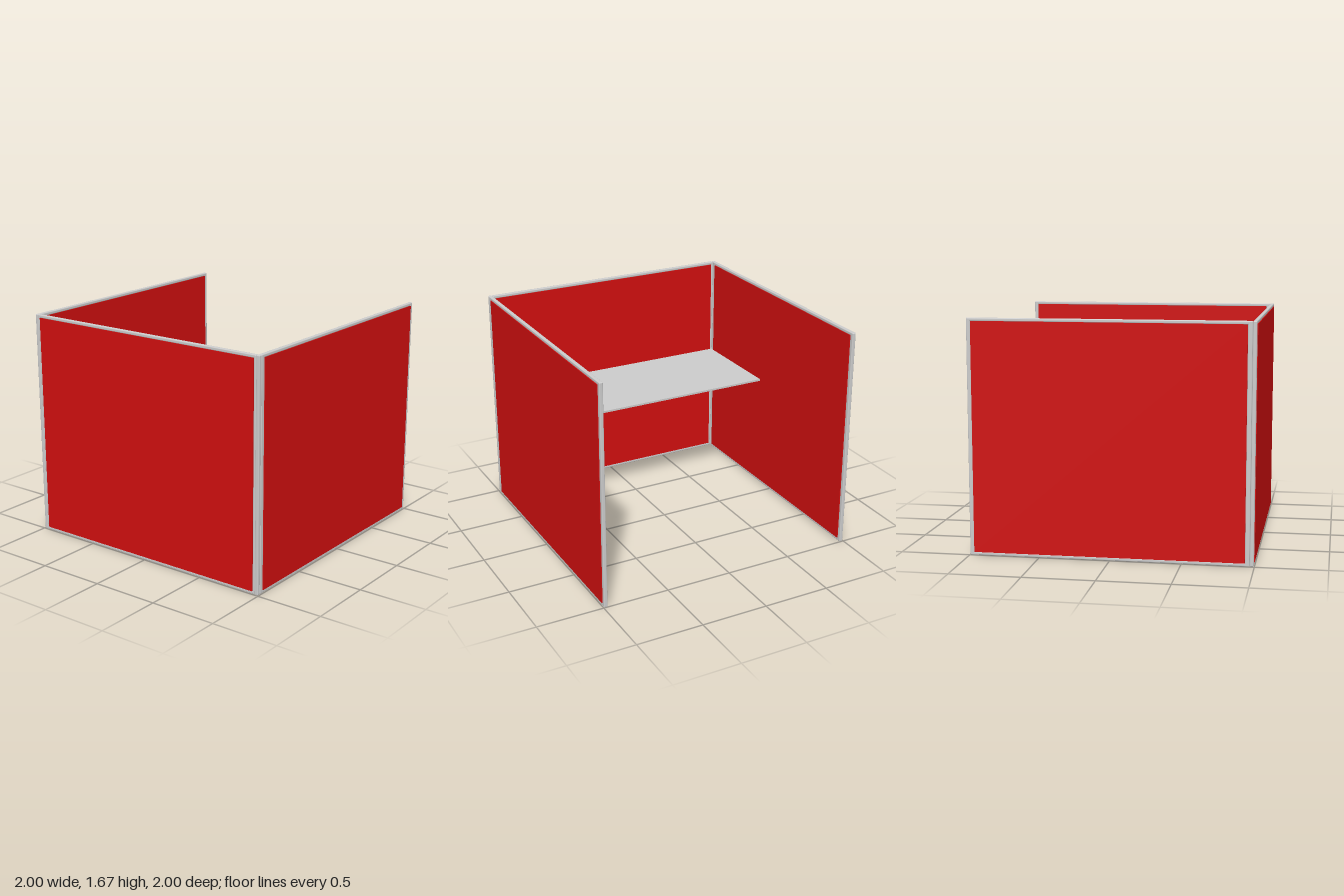
import * as THREE from 'three';
import { RoundedBoxGeometry } from 'three/addons/geometries/RoundedBoxGeometry.js';

const H = 1.67;        // wall height
const FRAME = 0.028;   // frame depth
const PANEL = 0.036;   // panel depth, slightly proud of the frame
const OFF = 0.982;     // wall centre line from the origin

const grey = new THREE.MeshStandardMaterial({ color: 0xcccccc });
const red = new THREE.MeshStandardMaterial({ color: 0xd00f0f });

function add(parent, name, geometry, material, x, y, z) {
  const mesh = new THREE.Mesh(geometry, material);
  mesh.name = name;
  mesh.position.set(x, y, z);
  parent.add(mesh);
  return mesh;
}

const bar = (w, h, d) => new RoundedBoxGeometry(w, h, d, 2, 0.007);

// Framed wall lying in the xy plane, from x0 to x1, with its own stile widths
function framedWall(name, x0, x1, leftStile, rightStile) {
  const wall = new THREE.Group();
  wall.name = name;
  const rail = 0.024, mid = (x0 + x1) / 2;
  add(wall, 'bottomRail', bar(x1 - x0, rail, FRAME), grey, mid, rail / 2, 0);
  add(wall, 'topRail', bar(x1 - x0, rail, FRAME), grey, mid, H - rail / 2, 0);
  add(wall, 'startStile', bar(leftStile, H, FRAME), grey, x0 + leftStile / 2, H / 2, 0);
  add(wall, 'endStile', bar(rightStile, H, FRAME), grey, x1 - rightStile / 2, H / 2, 0);
  const p0 = x0 + leftStile, p1 = x1 - rightStile;
  add(wall, 'fabricPanel', new THREE.BoxGeometry(p1 - p0, H - 2 * rail + 0.004, PANEL), red, (p0 + p1) / 2, H / 2, 0);
  return wall;
}

export function createModel() {
  const model = new THREE.Group();
  model.name = 'cubicle';

  // Two long side walls with corner posts
  for (const s of [1, -1]) {
    const wall = framedWall(s > 0 ? 'frontWall' : 'backWall', -0.968, 0.998, 0.033, 0.031);
    wall.position.z = s * OFF;
    model.add(wall);
    add(model, 'cornerPost', bar(0.028, H, 0.028), grey, -OFF, H / 2, s * OFF);
  }

  // Wall joining them
  const endWall = framedWall('endWall', -0.968, 0.968, 0.018, 0.018);
  endWall.rotation.y = Math.PI / 2;
  endWall.position.x = -OFF;
  model.add(endWall);

  // Desk surface against the end wall
  add(model, 'desk', new THREE.BoxGeometry(0.785, 0.015, 1.926), grey, -0.5725, 0.897, 0);

  return model;
}
